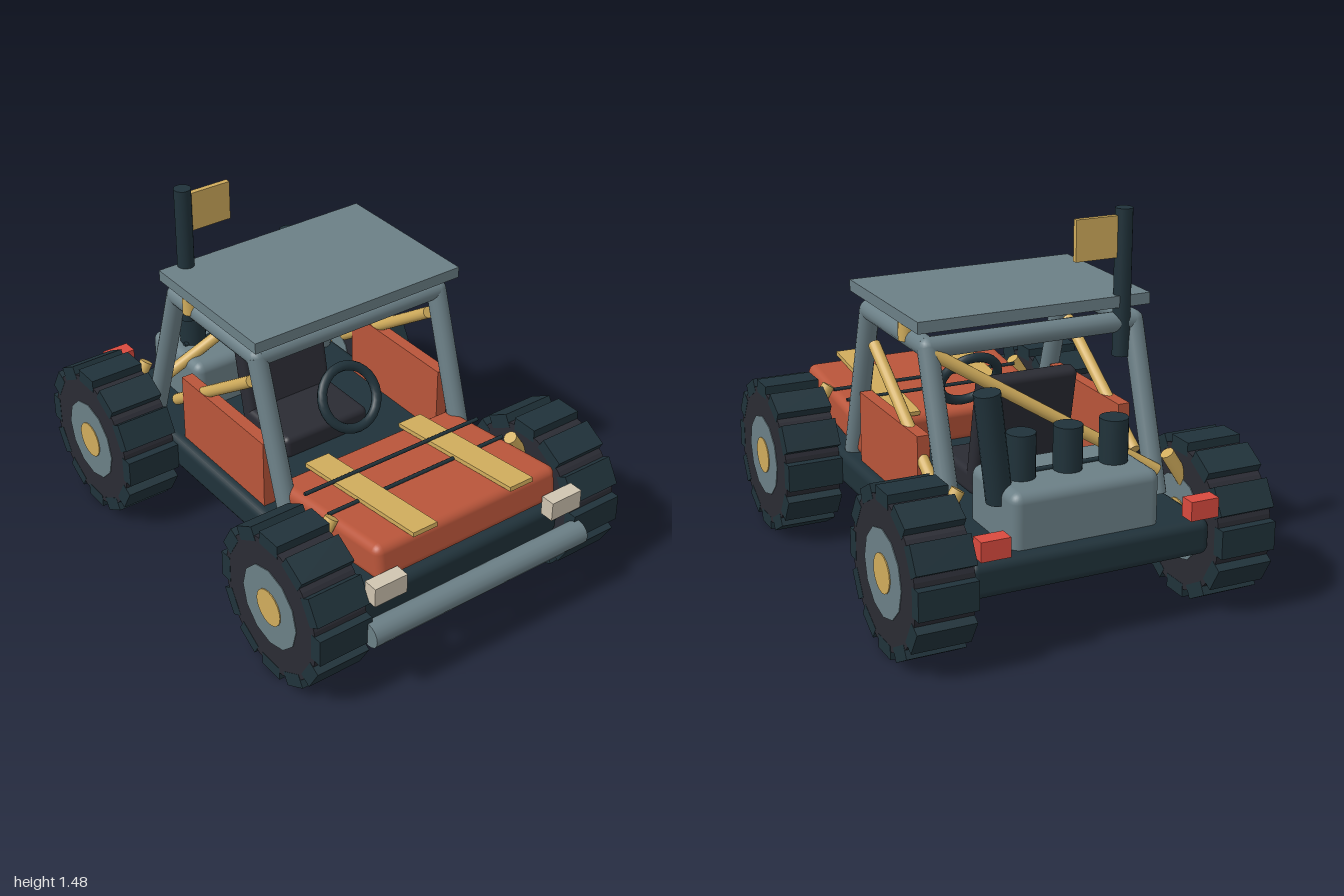
import * as THREE from 'three';
import { RoundedBoxGeometry } from 'three/addons/geometries/RoundedBoxGeometry.js';

const mat = (color, flatShading = false) => new THREE.MeshStandardMaterial({ color, flatShading });
const dark = mat(0x20323a), charcoal = mat(0x2a2b33), steel = mat(0x6b7f86), orange = mat(0xb9553a);
const gold = mat(0xd0ac5c), red = mat(0xd94a3e), cream = mat(0xcfc4b0);
const tyreMat = mat(0x2a2b33, true), rimMat = mat(0x6b7f86, true);

export function createModel() {
  const model = new THREE.Group();
  model.name = 'buggy';

  const add = (name, geo, material, pos, tilt = 0, parent = model) => {
    const mesh = new THREE.Mesh(geo, material);
    mesh.name = name;
    mesh.position.set(...pos);
    mesh.rotation.x = tilt;
    parent.add(mesh);
    return mesh;
  };
  const box = (name, size, material, pos, tilt, parent) =>
    add(name, new THREE.BoxGeometry(...size), material, pos, tilt, parent);
  const rounded = (name, size, r, material, pos, tilt) =>
    add(name, new RoundedBoxGeometry(...size, 3, r), material, pos, tilt);
  // Cylinder running between two points
  const rod = (name, a, b, r, material, sides = 16, parent = model) => {
    const from = new THREE.Vector3(...a), to = new THREE.Vector3(...b);
    const dir = to.clone().sub(from);
    const mid = from.clone().add(to).multiplyScalar(0.5);
    const mesh = add(name, new THREE.CylinderGeometry(r, r, dir.length(), sides), material, mid.toArray(), 0, parent);
    mesh.quaternion.setFromUnitVectors(new THREE.Vector3(0, 1, 0), dir.normalize());
    return mesh;
  };

  // Chassis and front bumper
  rounded('chassis', [0.98, 0.14, 1.78], 0.035, dark, [0, 0.32, -0.03]);
  rod('frontBumper', [-0.51, 0.3, 0.95], [0.51, 0.3, 0.95], 0.05, steel);

  // Sloping hood with straps and cross wires
  const slope = -0.125;
  rounded('hood', [0.86, 0.15, 0.64], 0.035, orange, [0, 0.493, 0.573], slope);
  for (const s of [-1, 1])
    box('hoodStrap', [0.11, 0.018, 0.67], gold, [s * 0.228, 0.581, 0.575], slope);
  for (const z of [0.43, 0.58])
    rod('hoodWire', [-0.42, 0.574, z], [0.42, 0.574, z], 0.008, dark, 8);

  // Cabin
  rounded('seatBack', [0.41, 0.47, 0.07], 0.025, charcoal, [0, 0.64, -0.328], -0.2);
  rounded('seatBase', [0.41, 0.1, 0.32], 0.025, charcoal, [0, 0.43, -0.16]);
  add('steeringWheel', new THREE.TorusGeometry(0.125, 0.02, 10, 28), dark, [0, 0.69, 0.145], -0.53);

  // Engine, intake stacks and exhaust
  rounded('engine', [0.6, 0.25, 0.37], 0.04, steel, [0, 0.475, -0.685]);
  for (const x of [-0.19, 0, 0.19])
    rod('intakeStack', [x, 0.56, -0.705], [x, 0.77, -0.705], 0.055, dark);
  rod('intakeRail', [-0.25, 0.605, -0.68], [0.25, 0.605, -0.68], 0.01, dark, 8);
  rod('exhaust', [0.285, 0.53, -0.725], [0.337, 0.945, -0.73], 0.05, dark);

  // Roll cage: one bent hoop per side, joined across the top
  for (const s of [-1, 1]) {
    const x = s * 0.425;
    const hoop = [[x, 0.39, 0.34], [x, 1.035, 0.14], [x, 1.035, -0.42], [x, 0.4, -0.63]];
    for (let i = 0; i < 3; i++) rod('cageTube', hoop[i], hoop[i + 1], 0.04, steel);
    for (const p of [hoop[1], hoop[2]]) add('cageJoint', new THREE.SphereGeometry(0.04, 16, 10), steel, p);
    rod('sideBrace', [x, 0.905, 0.1], [x, 0.52, -0.46], 0.024, gold);
    rod('roofMount', [s * 0.45, 1.03, -0.28], [s * 0.45, 1.1, -0.28], 0.03, gold);
    box('door', [0.05, 0.29, 0.575], orange, [s * 0.425, 0.537, -0.085]);
    box('headlight', [0.145, 0.08, 0.06], cream, [s * 0.42, 0.47, 0.93]);
    box('tailLight', [0.115, 0.075, 0.065], red, [s * 0.42, 0.465, -0.948]);
  }
  for (const z of [0.14, -0.42])
    rod('cageCrossbar', [-0.425, 1.035, z], [0.425, 1.035, z], 0.04, steel);
  rod('rearBrace', [-0.42, 0.5, -0.64], [0.42, 1.02, -0.44], 0.024, gold);
  box('roof', [0.956, 0.045, 0.665], steel, [0, 1.122, -0.122]);

  // Flag
  rod('flagPole', [-0.37, 0.905, -0.43], [-0.37, 1.477, -0.43], 0.034, dark);
  box('flag', [0.185, 0.16, 0.022], gold, [-0.257, 1.37, -0.43]);

  // Wheels with twelve tread lugs, and their shock absorbers
  for (const z of [0.628, -0.682]) for (const s of [-1, 1]) {
    const wheel = new THREE.Group();
    wheel.name = 'wheel';
    wheel.position.set(s * 0.605, 0.315, z);
    model.add(wheel);
    const disc = (name, r, half, material, sides) =>
      rod(name, [-half, 0, 0], [half, 0, 0], r, material, sides, wheel);
    disc('tyre', 0.288, 0.114, tyreMat, 24);
    disc('rim', 0.17, 0.117, rimMat, 12);
    disc('hubCap', 0.075, 0.121, gold, 20);
    for (let i = 0; i < 12; i++) {
      const a = i * Math.PI / 6;
      box('treadLug', [0.23, 0.055, 0.112], dark,
        [0, Math.cos(a) * 0.2875, Math.sin(a) * 0.2875], a, wheel);
    }
    const sz = z > 0 ? 0.615 : -0.69;
    rod('shockAbsorber', [s * 0.43, 0.585, sz], [s * 0.55, 0.4, sz], 0.027, gold);
  }
  return model;
}
